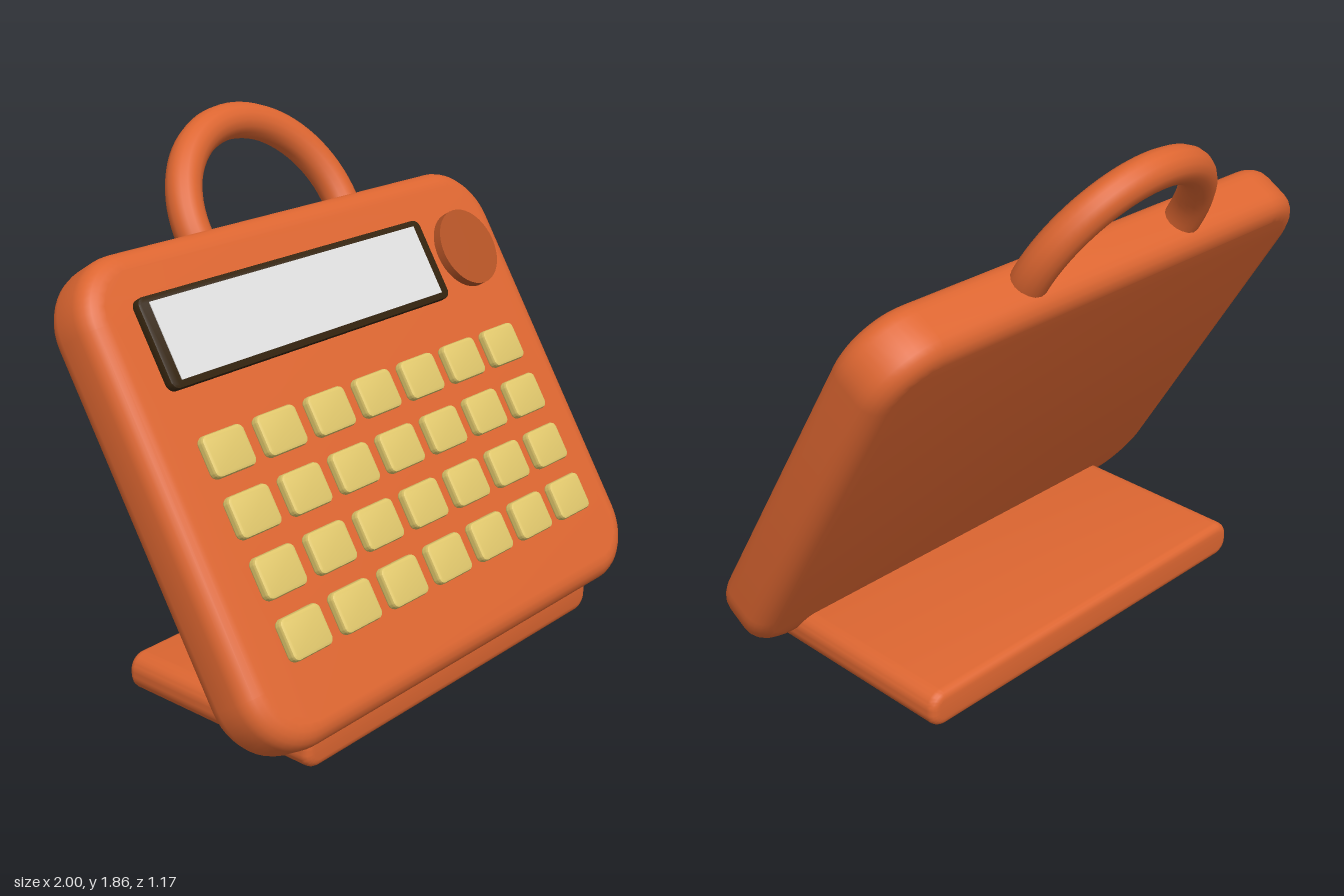
import * as THREE from 'three';
import { toCreasedNormals } from 'three/addons/utils/BufferGeometryUtils.js';

const material = (name, color) => {
  const m = new THREE.MeshStandardMaterial({ color });
  m.name = name;
  return m;
};

// Rounded rectangle with bevelled rims, centred on the origin, thickness along z
function roundedPlate(w, h, d, radius, bevel, segments = 4) {
  const x = w / 2 - bevel, y = h / 2 - bevel, r = Math.max(radius - bevel, 0.004);
  const s = new THREE.Shape();
  s.moveTo(x, -y + r);
  s.absarc(x - r, y - r, r, 0, Math.PI / 2);
  s.absarc(-x + r, y - r, r, Math.PI / 2, Math.PI);
  s.absarc(-x + r, -y + r, r, Math.PI, Math.PI * 1.5);
  s.absarc(x - r, -y + r, r, Math.PI * 1.5, Math.PI * 2);
  const g = new THREE.ExtrudeGeometry(s, {
    depth: d - 2 * bevel, bevelEnabled: true, bevelSize: bevel, bevelThickness: bevel,
    bevelSegments: segments, curveSegments: 6,
  });
  g.translate(0, 0, -(d - 2 * bevel) / 2);
  return toCreasedNormals(g, 0.6);
}

export function createModel() {
  const model = new THREE.Group();
  model.name = 'keypadToy';

  const orange = material('orange shell', 0xdd6631);
  const rust = material('rust dial', 0xb45326);
  const brown = material('dark brown frame', 0x35240f);
  const grey = material('pale grey screen', 0xe1e1e1);
  const yellow = material('yellow keys', 0xe0c76c);

  const add = (parent, name, geometry, mat, x = 0, y = 0, z = 0) => {
    const mesh = new THREE.Mesh(geometry, mat);
    mesh.name = name;
    mesh.position.set(x, y, z);
    parent.add(mesh);
    return mesh;
  };

  // Flat foot on the ground
  add(model, 'foot', roundedPlate(1.545, 0.135, 0.815, 0.06, 0.03), orange, 0, 0.0675, 0.1125);

  // Leaning upper assembly
  const upper = new THREE.Group();
  upper.name = 'leaningBody';
  upper.position.set(0, 0.7925, 0.09);
  upper.rotation.x = -0.55;
  model.add(upper);

  const height = 1.63, depth = 0.225, front = depth / 2;
  add(upper, 'case', roundedPlate(2, height, depth, 0.22, 0.07, 5), orange);

  // Carrying handle with short legs sunk into the case
  const handle = new THREE.Group();
  handle.name = 'handle';
  handle.position.y = height / 2;
  upper.add(handle);
  add(handle, 'handleArch', new THREE.TorusGeometry(0.363, 0.0625, 16, 40, Math.PI), orange);
  for (const side of [-1, 1]) {
    add(handle, 'handleLeg', new THREE.CylinderGeometry(0.0625, 0.0625, 0.05, 16), orange, side * 0.363, -0.025, 0);
  }

  // Display
  add(upper, 'screenFrame', roundedPlate(1.367, 0.304, 0.05, 0.03, 0.008, 2), brown, -0.137, 0.493, front + 0.005);
  add(upper, 'screen', new THREE.BoxGeometry(1.281, 0.258, 0.006), grey, -0.137, 0.494, front + 0.03);

  // Round dial
  const dial = add(upper, 'dial', new THREE.CylinderGeometry(0.145, 0.145, 0.05, 40), rust, 0.748, 0.495, front + 0.008);
  dial.rotation.x = Math.PI / 2;

  // Keypad: four rows of seven
  const keyGeometry = roundedPlate(0.18, 0.14, 0.036, 0.024, 0.011, 2);
  const keypad = new THREE.Group();
  keypad.name = 'keypad';
  upper.add(keypad);
  for (let row = 0; row < 4; row++) {
    for (let col = 0; col < 7; col++) {
      add(keypad, 'key', keyGeometry, yellow, (col - 3) * 0.237, -0.487 + row * 0.2, front + 0.016);
    }
  }
  return model;
}
